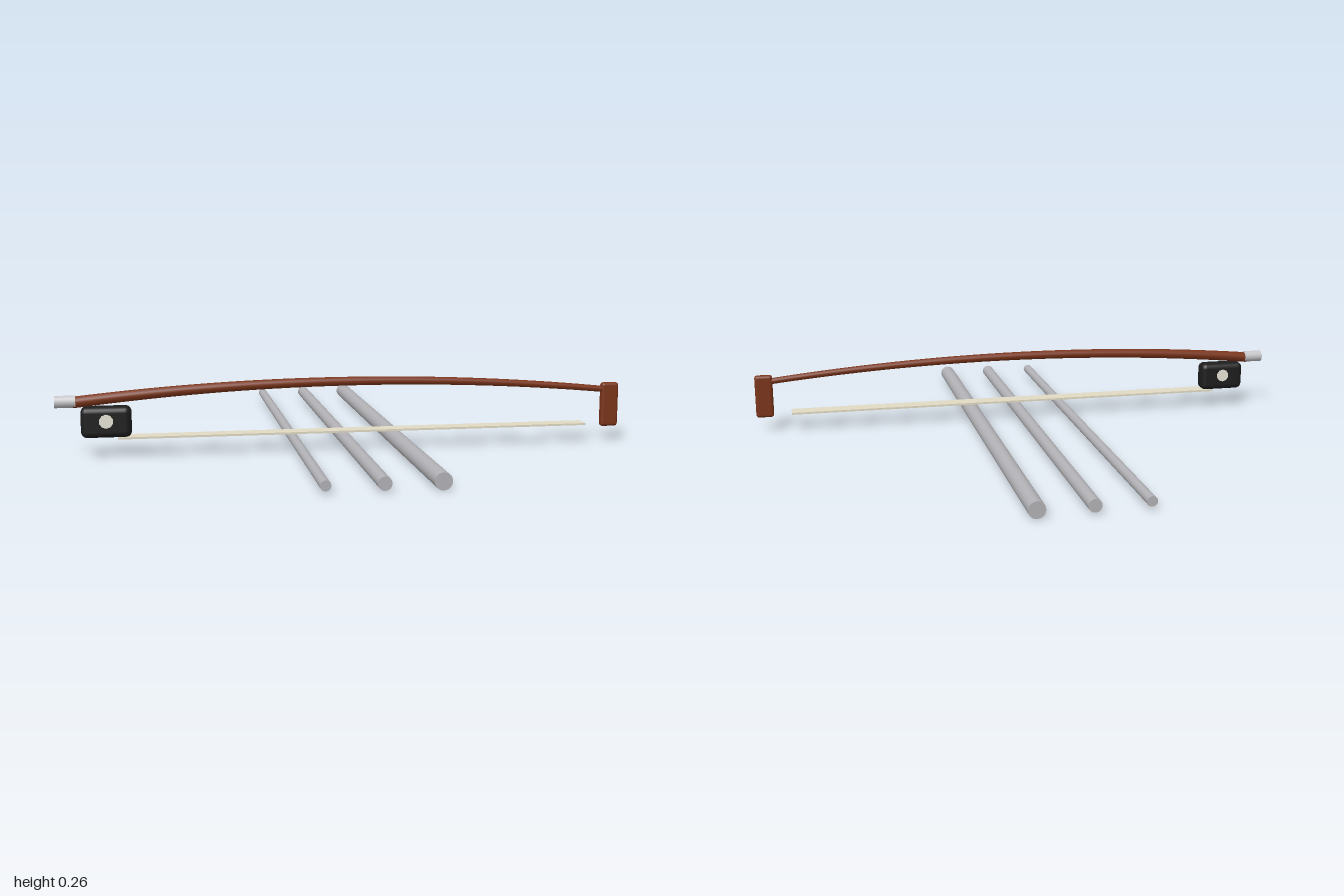
import * as THREE from 'three';
import { RoundedBoxGeometry } from 'three/addons/geometries/RoundedBoxGeometry.js';

const material = (name, color) => Object.assign(new THREE.MeshStandardMaterial({ color }), { name });

export function createModel() {
  const steel = material('string steel', 0xb2b2b6);
  const silver = material('button silver', 0xc6c6ca);
  const wood = material('red brown wood', 0x7a3419);
  const ebony = material('black ebony', 0x1d1d1d);
  const hairCream = material('cream hair', 0xe0d9c2);
  const pearl = material('pearl', 0xe6e4d6);

  const model = new THREE.Group();
  const add = (parent, name, geometry, mat, x, y, z) => {
    const mesh = new THREE.Mesh(geometry, mat);
    mesh.name = name;
    mesh.position.set(x, y, z);
    parent.add(mesh);
    return mesh;
  };

  // Three strings of growing thickness, lying along z
  const strings = new THREE.Group();
  strings.name = 'strings';
  [[-0.18, 0.017], [0, 0.022], [0.18, 0.028]].forEach(([x, r], i) => {
    const g = new THREE.CylinderGeometry(r, r, 1.8, 24).rotateX(Math.PI / 2);
    add(strings, `string${i + 1}`, g, steel, x, 0.028, 0);
  });
  model.add(strings);

  // Bow, lying along x above the strings
  const bow = new THREE.Group();
  bow.name = 'bow';
  bow.position.z = 0.238;
  model.add(bow);

  // Arched stick: a tube whose radius shrinks towards the head
  const start = new THREE.Vector3(-0.94, 0.19, 0);
  const end = new THREE.Vector3(0.96, 0.187, 0);
  const arch = new THREE.QuadraticBezierCurve3(start, new THREE.Vector3(0, 0.292, 0), end);
  const steps = 48, sides = 14;
  const stick = new THREE.TubeGeometry(arch, steps, 1, sides);
  const pos = stick.attributes.position;
  const v = new THREE.Vector3();
  for (let i = 0; i <= steps; i++) {
    const t = i / steps, centre = arch.getPointAt(t);
    const radius = THREE.MathUtils.lerp(0.0195, 0.011, t);
    for (let j = 0; j <= sides; j++) {
      const k = i * (sides + 1) + j;
      v.fromBufferAttribute(pos, k).sub(centre).multiplyScalar(radius).add(centre);
      pos.setXYZ(k, v.x, v.y, v.z);
    }
  }
  add(bow, 'stick', stick, wood, 0, 0, 0);
  const endCap = new THREE.CircleGeometry(0.0195, sides).rotateY(-Math.PI / 2);
  add(bow, 'stickEnd', endCap, wood, -0.939, 0.19, 0);

  // Head at the tip and screw button at the other end
  add(bow, 'head', new RoundedBoxGeometry(0.065, 0.16, 0.028, 3, 0.011), wood, 0.9655, 0.133, 0);
  const button = new THREE.CylinderGeometry(0.021, 0.021, 0.07, 20).rotateZ(Math.PI / 2);
  add(bow, 'button', button, silver, -0.965, 0.193, 0);

  // Frog with a pearl eye on both faces
  add(bow, 'frog', new RoundedBoxGeometry(0.17, 0.106, 0.066, 3, 0.021), ebony, -0.83, 0.122, 0);
  for (const side of [1, -1]) {
    const eye = new THREE.CylinderGeometry(0.024, 0.024, 0.006, 10).rotateX(Math.PI / 2);
    add(bow, side > 0 ? 'eyeFront' : 'eyeBack', eye, pearl, -0.83, 0.127, side * 0.033);
  }

  // Flat ribbon of hair
  add(bow, 'hair', new THREE.BoxGeometry(1.66, 0.007, 0.06), hairCream, 0.038, 0.067, 0);

  return model;
}
